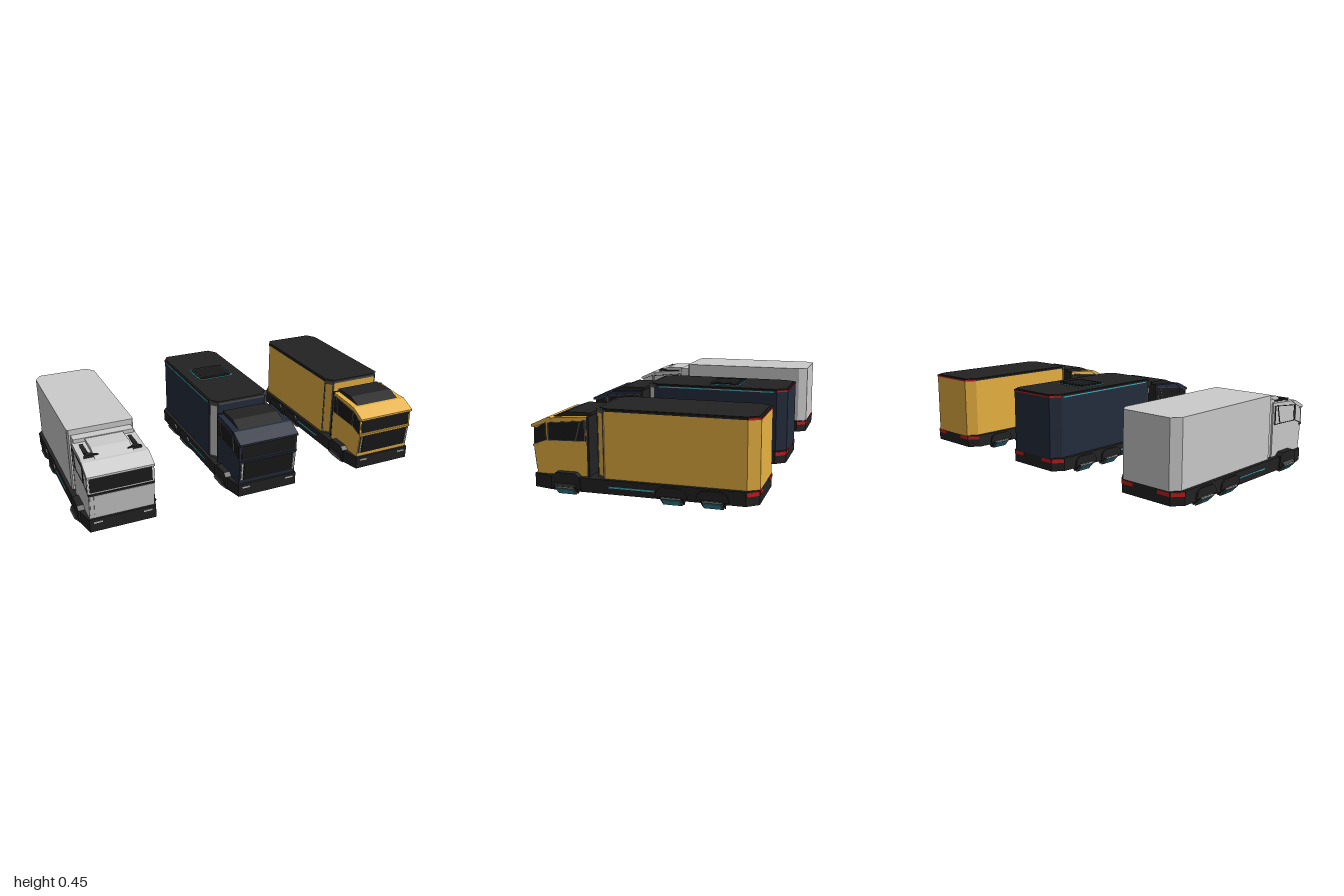
import * as THREE from 'three';

const mat = (color) => new THREE.MeshStandardMaterial({ color, flatShading: true });
const GREY = mat(0xcccccc), YELLOW = mat(0xe6b040), NAVY = mat(0x242c3c), DARK = mat(0x222222);
const TRIM = mat(0x505050), TEAL = mat(0x2f8a9b), CYAN = mat(0x45b9c8), RED = mat(0xc41c1c), GLASS = mat(0x191919);

function add(parent, name, geometry, material, x = 0, y = 0, z = 0) {
  const mesh = new THREE.Mesh(geometry, material);
  mesh.name = name;
  mesh.position.set(x, y, z);
  parent.add(mesh);
  return mesh;
}
const box = (w, h, d) => new THREE.BoxGeometry(w, h, d);
const shapeOf = (pts) => new THREE.Shape(pts.map(([a, b]) => new THREE.Vector2(a, b)));

// Plan outline [x, z] extruded upwards from y0 to y1
function slab(pts, y0, y1) {
  const g = new THREE.ExtrudeGeometry(shapeOf(pts.map(([x, z]) => [x, -z])), { depth: y1 - y0, bevelEnabled: false });
  return g.rotateX(-Math.PI / 2).translate(0, y0, 0);
}
// Side profile [z, y] extruded across, from x0 to x1; hole is optional
function profile(pts, x0, x1, hole) {
  const s = shapeOf(pts);
  if (hole) s.holes.push(shapeOf(hole));
  const g = new THREE.ExtrudeGeometry(s, { depth: x1 - x0, bevelEnabled: false });
  return g.rotateY(-Math.PI / 2).translate(x1, 0, 0);
}
// Rectangle in plan with cut corners: rear at z0, front at z1
const plan = (hw, z0, z1, cx0, cz0, cx1, cz1) => [
  [hw - cx0, z0], [hw, z0 + cz0], [hw, z1 - cz1], [hw - cx1, z1],
  [-hw + cx1, z1], [-hw, z1 - cz1], [-hw, z0 + cz0], [-hw + cx0, z0]];
// Upright strip between two plan points
function strip(parent, name, [xa, za], [xb, zb], y0, y1, material, t = 0.006) {
  const m = add(parent, name, box(Math.hypot(xb - xa, zb - za), y1 - y0, t), material,
    (xa + xb) / 2, (y0 + y1) / 2, (za + zb) / 2);
  m.rotation.y = -Math.atan2(zb - za, xb - xa);
}
// Shrinks an outline towards its middle
function inset(pts, k) {
  const cx = pts.reduce((s, p) => s + p[0], 0) / pts.length, cy = pts.reduce((s, p) => s + p[1], 0) / pts.length;
  return pts.map(([x, y]) => [cx + (x - cx) * k, cy + (y - cy) * k]);
}

function chassis(truck) {
  const g = new THREE.Group();
  g.name = 'chassis';
  truck.add(g);
  const outline = plan(0.195, -0.57, 0.555, 0.045, 0.055, 0.022, 0.1);
  add(g, 'chassisBase', slab(outline, 0.035, 0.105), DARK);
  // Fenders and tilted hover pads at the three axles
  for (const [z, top, x, y] of [[0.38, 0.125, 0.179, 0.054], [-0.158, 0.095, 0.17, 0.043], [-0.357, 0.095, 0.17, 0.043]]) {
    for (const s of [-1, 1]) {
      const fender = [[z - 0.08, 0.045], [z - 0.072, top - 0.018], [z - 0.05, top], [z + 0.05, top], [z + 0.072, top - 0.018], [z + 0.08, 0.045]].reverse();
      add(g, 'fender', s > 0 ? profile(fender, 0.14, 0.203) : profile(fender, -0.203, -0.14), DARK);
      const pad = new THREE.Group();
      pad.name = 'hoverPad';
      pad.position.set(s * x, y, z);
      pad.rotation.z = -s * Math.PI / 4;
      g.add(pad);
      add(pad, 'padHousing', box(0.06, 0.056, 0.096), TRIM);
      add(pad, 'padRim', box(0.02, 0.059, 0.112), DARK, s * 0.012);
      add(pad, 'padEmitter', box(0.004, 0.044, 0.086), TEAL, s * 0.03);
    }
  }
  for (const s of [-1, 1]) {
    add(g, 'sideLight', box(0.005, 0.007, 0.23), CYAN, s * 0.196, 0.07, 0.042);
    add(g, 'frontLight', box(0.045, 0.008, 0.006), GREY, s * 0.13, 0.086, 0.555);
    strip(g, 'tailLight', [s * 0.152, -0.567], [s * 0.193, -0.517], 0.08, 0.1, RED);
    strip(g, 'tailLight', [s * 0.075, -0.57], [s * 0.148, -0.57], 0.08, 0.1, RED);
  }
}

function cab(truck, paint, plain) {
  const g = new THREE.Group();
  g.name = 'cab';
  truck.add(g);
  add(g, 'cabShell', profile([[0.272, 0.105], [0.543, 0.105], [0.558, 0.25], [0.553, 0.342], [0.485, 0.386], [0.272, 0.4]], -0.168, 0.168), paint);
  add(g, 'visor', profile([[0.568, 0.338], [0.568, 0.349], [0.485, 0.388], [0.45, 0.388], [0.54, 0.335]], -0.172, 0.172), paint);
  add(g, 'rearFrame', profile([[0.264, 0.105], [0.276, 0.105], [0.276, 0.402], [0.264, 0.402]], -0.169, 0.169), plain ? paint : DARK);
  add(g, 'windshield', profile([[0.545, 0.258], [0.561, 0.258], [0.557, 0.337], [0.54, 0.337]], -0.16, 0.16), GLASS);
  add(g, 'windshieldSill', profile([[0.54, 0.24], [0.562, 0.24], [0.563, 0.25], [0.54, 0.25]], -0.17, 0.17), plain ? DARK : paint);
  // Front panel leaning with the cab face
  const grille = [[0.53, 0.128], [0.55, 0.128], [0.561, 0.238], [0.54, 0.238]];
  add(g, 'grille', profile(grille, -0.143, 0.143), plain ? paint : GLASS);
  // Roof: raised wedge
  const roofHalf = plain ? 0.1 : 0.135;
  add(g, 'roofPanel', profile([[0.268, 0.39], [0.475, 0.386], [0.395, 0.415], [0.268, 0.415]], -roofHalf, roofHalf), plain ? paint : DARK);
  const frontGlass = [[0.49, 0.274], [0.554, 0.25], [0.553, 0.34], [0.49, 0.364]];
  const doorGlass = [[0.28, 0.281], [0.482, 0.274], [0.482, 0.363], [0.28, 0.384]];
  for (const s of [-1, 1]) {
    const lo = s > 0 ? 0.164 : -0.1705, hi = s > 0 ? 0.1705 : -0.164;
    for (const pts of [frontGlass, doorGlass]) {
      add(g, 'sideWindow', profile(pts, lo, hi), plain ? paint : GLASS);
      add(g, 'windowFrame', profile(pts, s > 0 ? lo : lo - 0.002, s > 0 ? hi + 0.002 : hi, inset(pts, 0.93)), plain ? DARK : TRIM);
    }
    add(g, 'windowPillar', profile([[0.33, 0.28], [0.337, 0.28], [0.31, 0.38], [0.303, 0.38]], s > 0 ? lo : lo - 0.002, s > 0 ? hi + 0.002 : hi), plain ? DARK : TRIM);
    const strake = s > 0 ? [0.147, 0.163] : [-0.163, -0.147];
    add(g, 'cornerPanel', profile(grille, ...strake), plain ? paint : TRIM);
    if (!plain) {
      const lamp = add(g, 'cornerLamp', box(0.007, 0.1, 0.005), GREY, s * 0.155, 0.183, 0.556);
      lamp.rotation.x = 0.1;
    } else {
      // Slots and vents beside the roof wedge
      add(g, 'roofSlot', box(0.022, 0.008, 0.13), DARK, s * 0.128, 0.394, 0.345);
      add(g, 'roofVent', slab([[s * 0.075, 0.445], [s * 0.15, 0.445], [s * 0.125, 0.41]], 0.37, 0.403), DARK);
    }
  }
  if (plain) add(g, 'cabBack', box(0.32, 0.315, 0.1), paint, 0, 0.262, 0.235);
}

function cargo(truck, paint, style) {
  const g = new THREE.Group();
  g.name = 'cargoBody';
  truck.add(g);
  const plain = style === 'plain';
  const outline = plain ? plan(0.177, -0.57, 0.23, 0.035, 0.05, 0.008, 0.01) : plan(0.177, -0.57, 0.228, 0.035, 0.055, 0.035, 0.045);
  add(g, 'cargoBox', slab(outline, 0.1, plain ? 0.45 : 0.435), paint);
  if (plain) return;
  add(g, 'cargoRoof', slab(outline, 0.435, 0.445), DARK);
  add(g, 'roofInset', slab(plan(0.168, -0.56, 0.218, 0.033, 0.052, 0.033, 0.042), 0.445, 0.448), DARK);
  add(g, 'frontRoofTrim', box(0.28, 0.012, 0.008), TRIM, 0, 0.44, 0.226);
  for (const s of [-1, 1]) {
    // Angled front corner with frame
    const a = [s * 0.178, 0.182], b = [s * 0.143, 0.228];
    strip(g, 'cornerPanel', a, b, 0.115, 0.425, style === 'hatch' ? GREY : paint, 0.004);
    for (const [p, q] of [[0, 0.14], [0.86, 1]]) {
      const at = (t) => [a[0] + (b[0] - a[0]) * t, a[1] + (b[1] - a[1]) * t];
      strip(g, 'cornerFrame', at(p), at(q), 0.105, 0.435, TRIM, 0.008);
    }
    strip(g, 'cornerFrame', a, b, 0.425, 0.445, TRIM, 0.008);
    strip(g, 'cornerFrame', a, b, 0.105, 0.115, TRIM, 0.008);
    // Red marker along the rear roof edge
    strip(g, 'rearMarker', [s * 0.143, -0.57], [s * 0.178, -0.515], 0.434, 0.444, RED);
    if (style === 'hatch') add(g, 'roofEdgeLight', box(0.005, 0.006, 0.66), CYAN, s * 0.177, 0.433, -0.17);
  }
  strip(g, 'rearMarker', [-0.142, -0.569], [0.142, -0.569], 0.434, 0.441, RED, 0.005);
  if (style === 'hatch') {
    // Roof hatch with a lit surround
    const ring = (hw, hd, c) => plan(hw, -0.2 - hd, -0.2 + hd, c, c, c, c);
    add(g, 'hatchLight', slab(ring(0.106, 0.091, 0.016), 0.445, 0.45), CYAN);
    add(g, 'hatchRim', slab(ring(0.1, 0.085, 0.014), 0.445, 0.455), DARK);
    add(g, 'hatchCover', slab(ring(0.085, 0.07, 0.004), 0.45, 0.4565), GLASS);
  }
}

export function createModel() {
  const model = new THREE.Group();
  model.name = 'hoverTrucks';
  for (const [name, x, paint, style] of [
    ['greyTruck', -0.78, GREY, 'plain'], ['navyTruck', 0.032, NAVY, 'hatch'], ['yellowTruck', 0.78, YELLOW, 'panel']]) {
    const truck = new THREE.Group();
    truck.name = name;
    truck.position.x = x;
    model.add(truck);
    chassis(truck);
    cab(truck, paint, style === 'plain');
    cargo(truck, paint, style);
  }
  return model;
}
